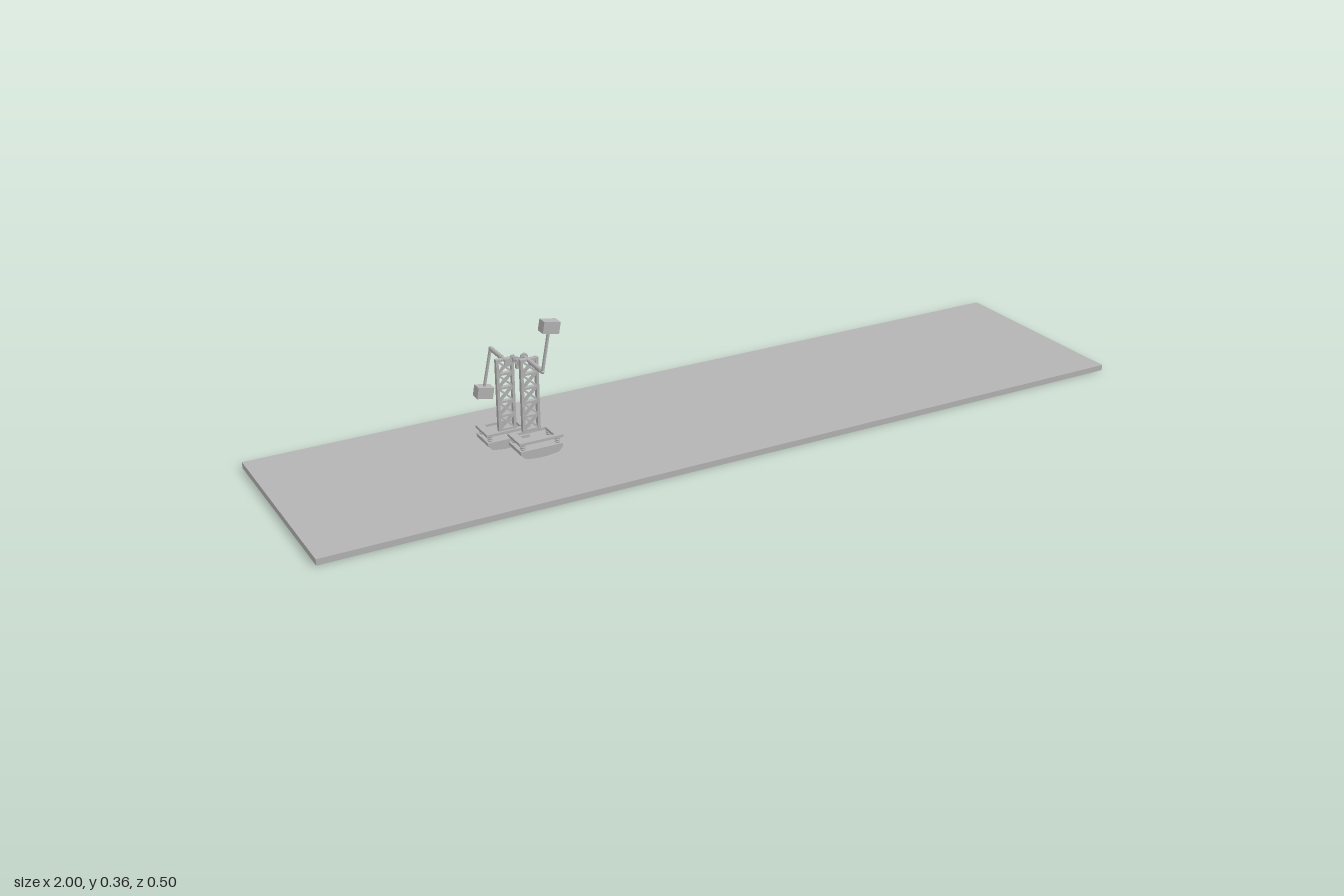
import * as THREE from 'three';

export function createModel() {
  const model = new THREE.Group();
  const grey = new THREE.MeshStandardMaterial({ color: 0xb4b4b4 });
  grey.name = 'plain grey';

  const add = (parent, name, geometry, x = 0, y = 0, z = 0) => {
    const mesh = new THREE.Mesh(geometry, grey);
    mesh.name = name;
    mesh.position.set(x, y, z);
    parent.add(mesh);
    return mesh;
  };
  const box = (parent, name, w, h, d, x, y, z) => add(parent, name, new THREE.BoxGeometry(w, h, d), x, y, z);
  // Round rod between two points
  const rod = (parent, name, a, b, r) => {
    const from = new THREE.Vector3(...a), to = new THREE.Vector3(...b);
    const dir = to.clone().sub(from);
    const mesh = add(parent, name, new THREE.CylinderGeometry(r, r, dir.length(), 16));
    mesh.position.copy(from).add(to).multiplyScalar(0.5);
    mesh.quaternion.setFromUnitVectors(new THREE.Vector3(0, 1, 0), dir.normalize());
    return mesh;
  };
  const extrude = (shape, depth) => {
    const g = new THREE.ExtrudeGeometry(shape, { depth, bevelEnabled: false, curveSegments: 10 });
    return g.translate(0, 0, -depth / 2);
  };
  const rect = (T, x0, y0, x1, y1) => {
    const s = new T();
    s.moveTo(x0, y0);
    s.lineTo(x1, y0);
    s.lineTo(x1, y1);
    s.lineTo(x0, y1);
    s.closePath();
    return s;
  };

  // Walking surface
  box(model, 'floorPlate', 2, 0.014, 0.5, 0, 0.007, 0);

  // One leg: rocker foot, springs, ankle frame and truss column; side is +1 for the front leg
  function makeLeg(side) {
    const leg = new THREE.Group();
    const zc = side * 0.058;

    // Foot sole curved along x
    const sole = new THREE.Shape();
    sole.moveTo(-0.05, 0.015);
    sole.lineTo(-0.04, 0.004);
    sole.quadraticCurveTo(0, -0.004, 0.04, 0.004);
    sole.lineTo(0.05, 0.015);
    sole.closePath();
    add(leg, 'rockerSole', extrude(sole, 0.064), 0, 0, zc);
    box(leg, 'footPlate', 0.1, 0.008, 0.064, 0, 0.018, zc);

    // Ankle springs
    for (const sx of [-1, 1]) for (const sz of [-1, 1]) {
      const x = sx * 0.041, z = zc + sz * 0.0225;
      rod(leg, 'springPin', [x, 0.02, z], [x, 0.038, z], 0.0035);
      for (let i = 0; i < 3; i++) {
        const coil = add(leg, 'springCoil', new THREE.TorusGeometry(0.005, 0.0015, 6, 14), x, 0.025 + i * 0.0045, z);
        coil.rotation.x = Math.PI / 2;
      }
    }

    // Open ankle frame
    const frame = rect(THREE.Shape, -0.052, -0.032, 0.052, 0.032);
    frame.holes.push(rect(THREE.Path, -0.034, -0.022, 0.034, 0.022));
    add(leg, 'ankleFrame', extrude(frame, 0.006), 0, 0.039, zc).rotation.x = Math.PI / 2;

    // Truss column
    const zCol = side * 0.035, base = 0.042, top = 0.212, half = 0.018, bays = 5;
    for (const s of [-1, 1]) box(leg, 'columnRail', 0.006, top - base, 0.01, s * half, (top + base) / 2, zCol);
    const bay = (top - base - 0.006) / bays;
    for (let i = 0; i <= bays; i++) {
      const y = base + 0.003 + i * bay;
      box(leg, 'columnRung', 2 * half, 0.005, 0.01, 0, y, zCol);
      if (i === bays) continue;
      for (const s of [-1, 1]) {
        const brace = box(leg, 'columnBrace', Math.hypot(2 * half, bay), 0.004, 0.008, 0, y + bay / 2, zCol);
        brace.rotation.z = s * Math.atan2(bay, 2 * half);
      }
    }
    return leg;
  }

  const frontLeg = makeLeg(1);
  frontLeg.name = 'frontLeg';
  frontLeg.position.set(-0.438, 0.036, 0);
  const backLeg = makeLeg(-1);
  backLeg.name = 'backLeg';
  backLeg.position.set(-0.465, 0.016, 0);
  model.add(frontLeg, backLeg);

  // Counterweight arm: shaft out from the hip, swinging rod and weight block
  function makeArm(name, hip, elbowZ, hand, blockTilt) {
    const arm = new THREE.Group();
    arm.name = name;
    const elbow = [hip[0], hip[1], elbowZ];
    const s = Math.sign(elbowZ);
    rod(arm, 'armShaft', hip, elbow, 0.004);
    rod(arm, 'armSleeve', [hip[0], hip[1], s * 0.048], [hip[0], hip[1], elbowZ - s * 0.004], 0.0055);
    const tip = [hand[0], hand[1], elbowZ];
    rod(arm, 'armRod', elbow, tip, 0.0035);
    add(arm, 'elbow', new THREE.SphereGeometry(0.0045, 12, 8), ...elbow);
    const block = box(arm, 'armWeight', 0.038, 0.026, 0.025, ...tip);
    block.rotation.z = blockTilt;
    model.add(arm);
  }
  makeArm('frontArm', [-0.44, 0.244, 0.016], 0.111, [-0.421, 0.344], -0.18);
  makeArm('backArm', [-0.465, 0.225, -0.016], -0.109, [-0.486, 0.125], -0.18);

  // Crank linkage between the two legs
  const crank = new THREE.Group();
  crank.name = 'crankLinkage';
  model.add(crank);
  const mid = [-0.452, 0.234];
  rod(crank, 'crankShaft', [...mid, -0.021], [...mid, 0.021], 0.005);
  rod(crank, 'crankCollar', [...mid, -0.003], [...mid, 0.004], 0.008);
  for (const [x, y, z] of [[-0.44, 0.244, 0.016], [-0.465, 0.225, -0.014]]) {
    rod(crank, 'hubDisc', [x, y, z - 0.002], [x, y, z + 0.002], 0.009);
    const web = box(crank, 'crankWeb', Math.hypot(x - mid[0], y - mid[1]) + 0.01, 0.01, 0.005,
      (x + mid[0]) / 2, (y + mid[1]) / 2, z);
    web.rotation.z = Math.atan2(y - mid[1], x - mid[0]);
  }
  box(crank, 'motorBlock', 0.012, 0.012, 0.008, mid[0], 0.225, 0.012);

  return model;
}
